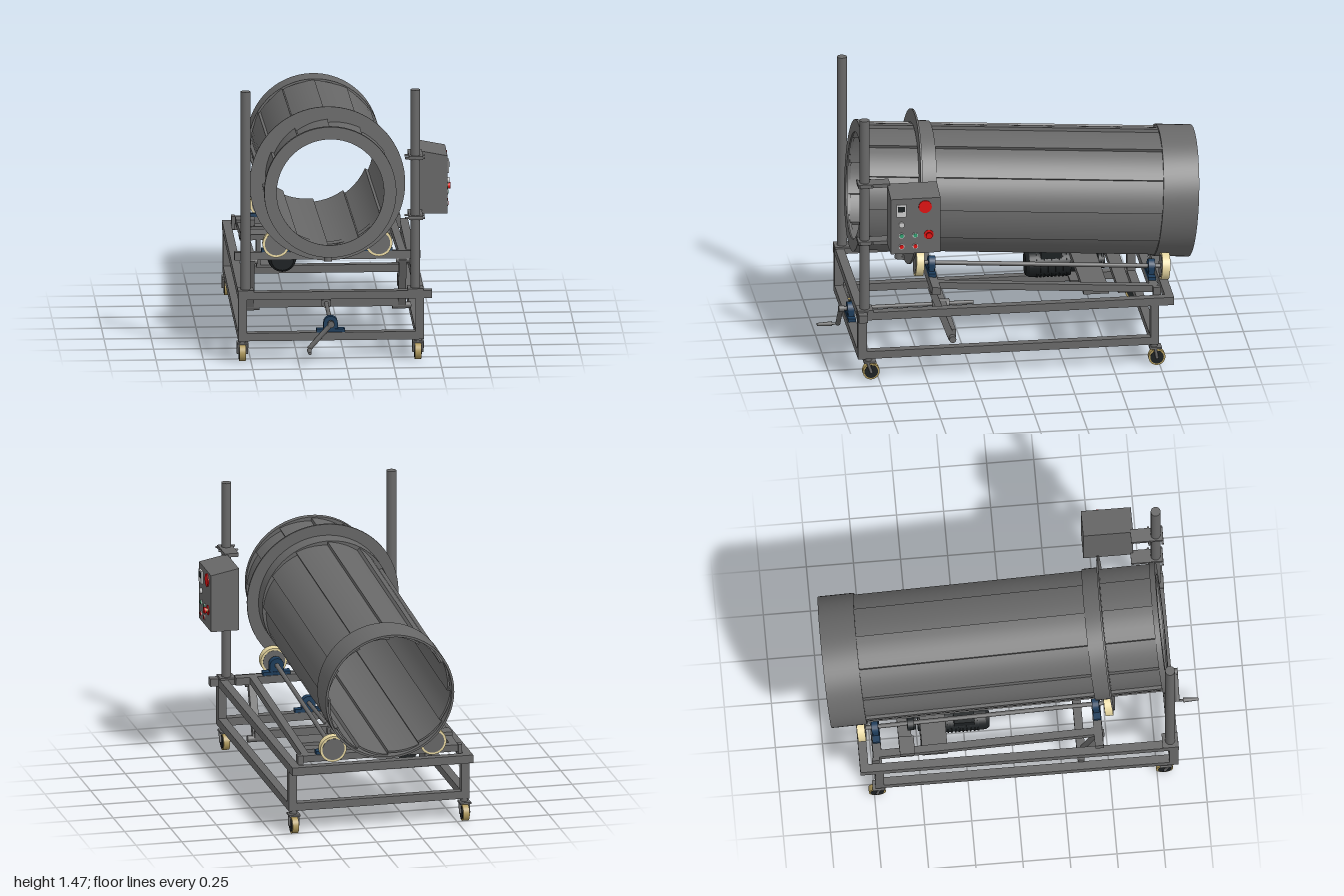
import * as THREE from 'three';
import { toCreasedNormals } from 'three/addons/utils/BufferGeometryUtils.js';

const paint = (color) => new THREE.MeshStandardMaterial({ color });
const steel = paint(0x686868), dark = paint(0x1c2022), blue = paint(0x1d3d5c), cream = paint(0xe6d6a0);
const red = paint(0xdd1111), green = paint(0x2fa070), pale = paint(0xcccccc), tan = paint(0xb09a5c);

function add(parent, name, geometry, material = steel) {
  const mesh = new THREE.Mesh(geometry, material);
  mesh.name = name;
  parent.add(mesh);
  return mesh;
}
// Box given by its limits on each axis
function box(parent, name, x0, x1, y0, y1, z0, z1, material) {
  const mesh = add(parent, name, new THREE.BoxGeometry(x1 - x0, y1 - y0, z1 - z0), material);
  mesh.position.set((x0 + x1) / 2, (y0 + y1) / 2, (z0 + z1) / 2);
  return mesh;
}
// Round bar or square bar between two points
function bar(parent, name, a, b, r, material, sides = 20, r2 = r) {
  const p = new THREE.Vector3(...a), q = new THREE.Vector3(...b);
  const mesh = add(parent, name, new THREE.CylinderGeometry(r2, r, p.distanceTo(q), sides), material);
  mesh.position.copy(p).lerp(q, 0.5);
  mesh.quaternion.setFromUnitVectors(new THREE.Vector3(0, 1, 0), q.sub(p).normalize());
  return mesh;
}
function extrude(shape, depth, z = 0) {
  const g = new THREE.ExtrudeGeometry(shape, { depth, bevelEnabled: false, curveSegments: 40 });
  return toCreasedNormals(g.translate(0, 0, z), 0.3);
}
function ring(parent, name, outer, inner, z0, z1) {
  const shape = new THREE.Shape().absarc(0, 0, outer, 0, Math.PI * 2);
  shape.holes.push(new THREE.Path().absarc(0, 0, inner, 0, Math.PI * 2, true));
  return add(parent, name, extrude(shape, z1 - z0, z0));
}

// Drum wall of overlapping staves: each one runs inward and leaves a step
function staveWall(count, z0, z1) {
  const loop = (inset) => {
    const pts = [];
    for (let i = 0; i < count; i++) {
      for (let k = 0; k <= 5; k++) {
        const a = ((i + k * 0.198) / count) * Math.PI * 2;
        const r = 0.345 - 0.018 * (k / 5) - inset;
        pts.push(new THREE.Vector2(r * Math.cos(a), r * Math.sin(a)));
      }
    }
    return pts;
  };
  const shape = new THREE.Shape(loop(0));
  shape.holes.push(new THREE.Path(loop(0.01).reverse()));
  return extrude(shape, z1 - z0, z0);
}

function buildDrum(parent) {
  const drum = new THREE.Group();
  drum.name = 'drum';
  parent.add(drum);
  add(drum, 'drumStaves', staveWall(12, -0.95, 0.8));
  ring(drum, 'rearCollar', 0.35, 0.338, -0.975, -0.785);
  ring(drum, 'rollerTrack', 0.35, 0.325, 0.43, 0.52);
  ring(drum, 'guideFlange', 0.412, 0.34, 0.515, 0.525);
  ring(drum, 'frontHoop', 0.35, 0.325, 0.79, 0.812);
  ring(drum, 'frontLip', 0.35, 0.284, 0.812, 0.82);
}

// Pillow block bearing on a shaft along z
function bearing(parent, x, y, z, drop) {
  const g = new THREE.Group();
  g.name = 'pillowBearing';
  g.position.set(x, y, z);
  parent.add(g);
  bar(g, 'bearingHousing', [0, 0, -0.018], [0, 0, 0.018], 0.038, blue);
  box(g, 'bearingNeck', -0.038, 0.038, -drop, 0, -0.015, 0.015, blue);
  box(g, 'bearingFoot', -0.075, 0.075, -drop, -drop + 0.018, -0.02, 0.02, blue);
}

// Rollers and tilting frame share the slope of the drum
function buildCradle(parent) {
  for (const x of [-0.352, 0.192]) {
    bar(parent, 'rollerShaft', [x, -0.324, -0.83], [x, -0.324, 0.51], 0.012);
    for (const z of [-0.828, 0.487]) {
      bar(parent, 'roller', [x, -0.324, z - 0.021], [x, -0.324, z + 0.021], 0.072, cream, 36);
      bar(parent, 'rollerHub', [x, -0.324, z - 0.023], [x, -0.324, z + 0.023], 0.06, steel, 32);
    }
    bearing(parent, x, -0.324, 0.42, 0.054);
    bearing(parent, x, -0.324, -0.755, 0.054);
  }
  box(parent, 'frontCrossbar', -0.57, 0.415, -0.42, -0.378, 0.395, 0.44);
  box(parent, 'rearCrossbar', -0.5, 0.335, -0.415, -0.378, -0.78, -0.735);
  for (const x of [-0.505, 0.3])
    box(parent, 'cradleRail', x, x + 0.04, -0.415, -0.378, -0.78, 0.42);
  // Thrust roller below the flange
  box(parent, 'thrustArm', -0.1, -0.06, -0.412, -0.395, 0.42, 0.56);
  bar(parent, 'thrustRoller', [-0.08, -0.41, 0.552], [-0.08, -0.365, 0.552], 0.022);
}

function buildDrive(parent) {
  box(parent, 'motorCrossPlate', -0.5, 0.31, 0.385, 0.415, -0.49, -0.355);
  box(parent, 'motorHangerPlate', -0.41, -0.39, 0.235, 0.4, -0.49, -0.355);
  box(parent, 'motorFootPlate', -0.41, -0.22, 0.235, 0.25, -0.49, -0.355);
  box(parent, 'rearDriveCrossbar', -0.5, 0.31, 0.385, 0.415, -0.61, -0.54);
  bar(parent, 'motorBody', [-0.285, 0.335, -0.36], [-0.285, 0.335, -0.14], 0.073, dark, 32);
  bar(parent, 'motorFanCover', [-0.285, 0.335, -0.14], [-0.285, 0.335, -0.12], 0.073, dark, 32, 0.06);
  for (let i = 0; i < 9; i++)
    bar(parent, 'motorFin', [-0.285, 0.335, -0.345 + i * 0.02], [-0.285, 0.335, -0.337 + i * 0.02], 0.078, dark, 32);
  box(parent, 'motorTerminalBox', -0.35, -0.22, 0.38, 0.425, -0.31, -0.2, dark);
  bar(parent, 'gearHead', [-0.285, 0.335, -0.5], [-0.285, 0.335, -0.36], 0.055, dark, 24);
  bar(parent, 'drivePulley', [-0.285, 0.335, -0.545], [-0.285, 0.335, -0.51], 0.045, dark, 24);
  bar(parent, 'shaftPulley', [-0.352, 0.497, -0.56], [-0.352, 0.497, -0.525], 0.04, dark, 24);
  for (const s of [-1, 1])
    bar(parent, 'driveBelt', [-0.285 + s * 0.042, 0.335, -0.53], [-0.352 + s * 0.037, 0.497, -0.543], 0.006, dark, 8);
  box(parent, 'beltGuard', -0.51, -0.41, 0.42, 0.455, -0.61, -0.53);
}

function buildCaster(parent, x, z) {
  const g = new THREE.Group();
  g.name = 'caster';
  g.position.set(x, 0.045, z);
  parent.add(g);
  bar(g, 'casterTyre', [-0.017, 0, 0], [0.017, 0, 0], 0.045, tan, 32);
  bar(g, 'casterHub', [-0.019, 0, 0], [0.019, 0, 0], 0.036, dark, 28);
  for (const s of [-1, 1])
    bar(g, 'casterFork', [s * 0.023, -0.005, 0], [s * 0.023, 0.055, z > 0 ? 0.02 : 0.01], 0.008, steel, 8);
  box(g, 'casterPlate', -0.03, 0.03, 0.05, 0.06, -0.025, 0.04);
  bar(g, 'casterSwivel', [0, 0.055, 0.015], [0, 0.085, 0.015], 0.02);
}

function buildBase(parent) {
  for (const x of [-0.57, 0.37]) {
    box(parent, 'upperSideRail', x, x + 0.045, 0.343, 0.387, -0.81, 0.865);
    box(parent, 'lowerSideRail', x, x + 0.045, 0.123, 0.165, -0.745, 0.86);
    box(parent, 'frontLeg', x, x + 0.045, 0.123, 0.345, 0.815, 0.862);
    box(parent, 'rearLeg', x, x + 0.045, 0.123, 0.345, -0.745, -0.7);
    buildCaster(parent, x < 0 ? -0.545 : 0.385, 0.79);
    buildCaster(parent, x < 0 ? -0.545 : 0.385, -0.735);
    // Uprights with foot plates
    const px = x < 0 ? -0.53 : 0.37;
    bar(parent, 'uprightPost', [px, 0.387, 0.822], [px, 1.47, 0.822], 0.026, steel, 28);
    box(parent, 'postFootPlate', px - 0.042, px + 0.042, 0.387, 0.397, 0.78, 0.864);
    // Rear hinge lugs
    box(parent, 'hingeLug', x < 0 ? -0.525 : 0.34, x < 0 ? -0.505 : 0.37, 0.36, 0.43, -0.76, -0.72);
  }
  box(parent, 'upperFrontRail', -0.57, 0.457, 0.345, 0.387, 0.815, 0.862);
  box(parent, 'upperRearRail', -0.57, 0.415, 0.343, 0.387, -0.825, -0.78);
  box(parent, 'lowerFrontRail', -0.57, 0.415, 0.122, 0.165, 0.815, 0.862);
  box(parent, 'lowerRearRail', -0.57, 0.415, 0.123, 0.165, -0.745, -0.7);
}

function buildLift(parent) {
  // Swinging arms joined by a crossbar
  for (const x of [-0.482, 0.322]) {
    const arm = box(parent, 'liftArm', -0.02, 0.02, -0.155, 0.155, -0.018, 0.018);
    arm.position.set(x, 0.325, 0.405);
    arm.rotation.x = 0.36;
    bar(parent, 'armPivot', [x - 0.035, 0.46, 0.455], [x + 0.035, 0.46, 0.455], 0.015);
    bar(parent, 'armFootPin', [x - 0.05, 0.19, 0.35], [x + 0.05, 0.19, 0.35], 0.018);
  }
  box(parent, 'liftCrossbar', -0.5, 0.335, 0.19, 0.235, 0.33, 0.375);
  bar(parent, 'leadScrew', [-0.08, 0.215, 0.18], [-0.08, 0.215, 0.9], 0.011);
  bar(parent, 'leadNut', [-0.08, 0.215, 0.31], [-0.08, 0.215, 0.4], 0.028, steel, 6);
  bearing(parent, -0.08, 0.213, 0.838, 0.048);
  // Crank and handle
  bar(parent, 'crankLever', [-0.08, 0.215, 0.888], [-0.197, 0.083, 0.888], 0.013);
  bar(parent, 'crankHub', [-0.08, 0.215, 0.87], [-0.08, 0.215, 0.9], 0.018);
  bar(parent, 'crankPin', [-0.197, 0.083, 0.88], [-0.197, 0.083, 0.93], 0.006);
  bar(parent, 'crankHandle', [-0.197, 0.083, 0.92], [-0.197, 0.083, 1.0], 0.013, steel, 16, 0.008);
}

function buildControls(parent) {
  const shape = new THREE.Shape([[0.395, 0.768], [0.547, 0.768], [0.547, 1.08], [0.395, 1.11]].map((p) => new THREE.Vector2(...p)));
  add(parent, 'controlCabinet', extrude(shape, 0.265, 0.44));
  // Brackets clamped to the right upright
  for (const y of [0.78, 1.105]) {
    box(parent, 'cabinetBracket', 0.335, 0.41, y - 0.01, y + 0.01, 0.69, 0.86);
    for (const z of [0.785, 0.855])
      bar(parent, 'clampBolt', [0.315, y, z], [0.42, y, z], 0.006, steel, 8);
  }
  box(parent, 'meterFrame', 0.547, 0.556, 0.98, 1.05, 0.622, 0.676, pale);
  box(parent, 'meterWindow', 0.556, 0.558, 1.01, 1.04, 0.63, 0.668, dark);
  const button = (name, y, z, r, out, material) =>
    bar(parent, name, [0.54, y, z], [0.547 + out, y, z], r, material, 24);
  button('warningDisc', 1.032, 0.522, 0.035, 0.006, red);
  button('selectorKnob', 0.935, 0.648, 0.015, 0.012, pale);
  for (const z of [0.648, 0.575]) {
    button('buttonBezel', 0.872, z, 0.015, 0.004, pale);
    button('startButton', 0.872, z, 0.011, 0.008, green);
    button('buttonBezel', 0.81, z, 0.015, 0.004, pale);
    button('stopButton', 0.81, z, 0.011, 0.008, red);
  }
  button('emergencyBase', 0.872, 0.503, 0.026, 0.004, red);
  button('emergencyStem', 0.872, 0.503, 0.011, 0.018, tan);
  bar(parent, 'emergencyButton', [0.56, 0.872, 0.503], [0.572, 0.872, 0.503], 0.017, red, 24);
}

export function createModel() {
  const model = new THREE.Group();
  model.name = 'tumblingDrumMachine';
  // Everything that slopes with the drum axis
  const tilt = new THREE.Group();
  tilt.name = 'tiltingAssembly';
  tilt.position.y = 0.858;
  tilt.rotation.x = -0.07;
  model.add(tilt);
  const cradle = new THREE.Group();
  cradle.name = 'cradle';
  tilt.add(cradle);
  buildDrum(tilt);
  tilt.getObjectByName('drum').position.x = -0.08;
  buildCradle(cradle);
  const sections = { drive: buildDrive, baseFrame: buildBase, liftMechanism: buildLift, controls: buildControls };
  for (const [name, build] of Object.entries(sections)) {
    const g = new THREE.Group();
    g.name = name;
    model.add(g);
    build(g);
  }
  return model;
}
